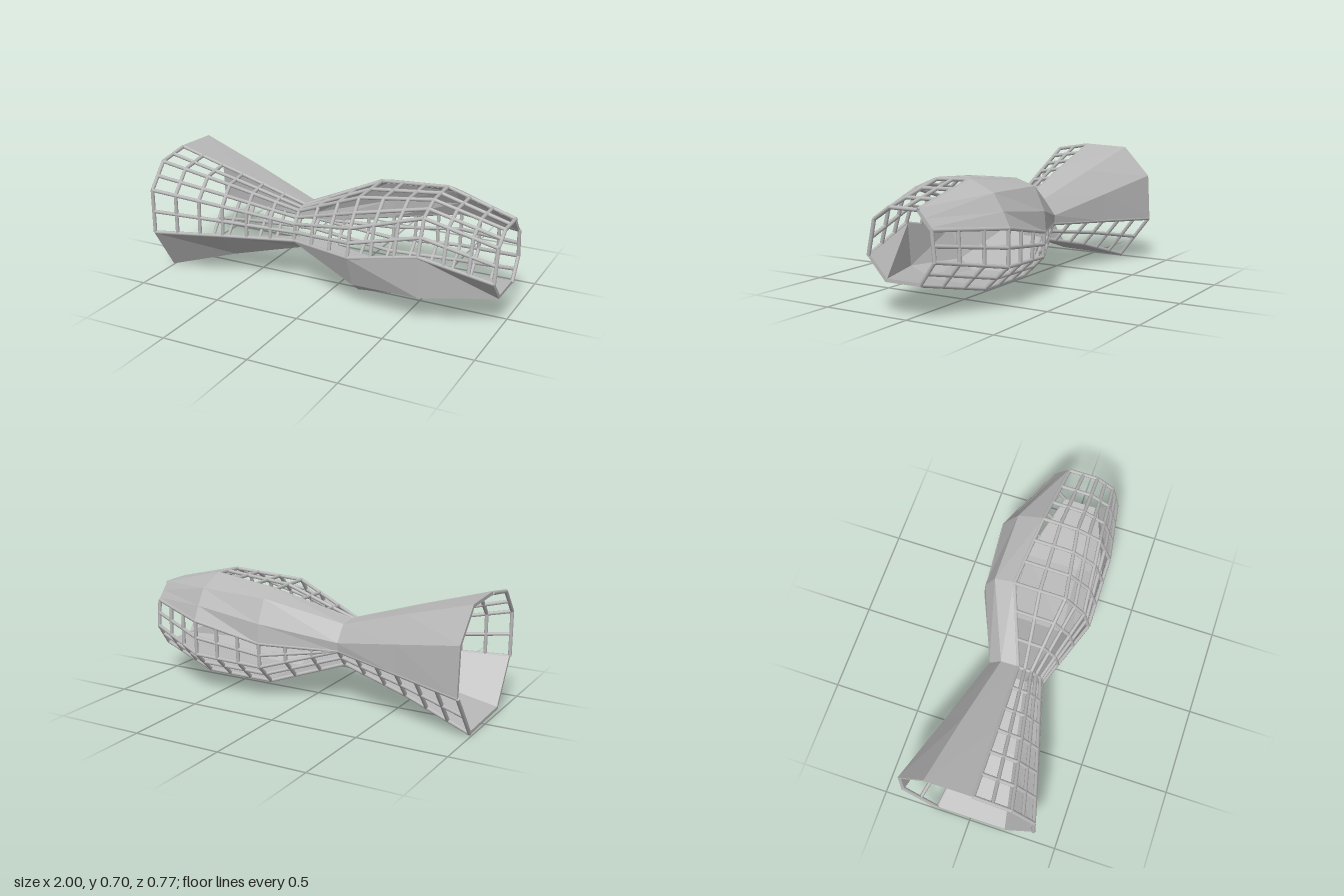
import * as THREE from 'three';
import { mergeGeometries } from 'three/addons/utils/BufferGeometryUtils.js';

// Stations along the tube, and the cross-section (z, y) at each one.
// Columns run from the top, down the front, under and up the back.
const XS = [-0.99, -0.6, -0.2, 0.2, 0.6, 0.99];
const RINGS = [
  [[.055, .70], [.26, .665], [.38, .525], [.38, .265], [.215, .01], [.215, .01], [-.195, 0], [-.385, .25], [-.385, .25], [-.37, .52], [-.21, .69]],
  [[.04, .585], [.18, .56], [.27, .455], [.275, .275], [.14, .12], [.14, .12], [-.13, .12], [-.265, .28], [-.265, .28], [-.26, .44], [-.15, .575]],
  [[.02, .46], [.10, .445], [.155, .38], [.165, .28], [.065, .21], [.065, .21], [-.06, .21], [-.145, .31], [-.145, .31], [-.15, .36], [-.08, .45]],
  [[-.14, .615], [.16, .61], [.275, .47], [.31, .31], [.24, .13], [.16, .07], [-.19, .085], [-.31, .20], [-.32, .34], [-.31, .45], [-.25, .58]],
  [[-.105, .655], [.10, .645], [.235, .585], [.305, .39], [.285, .155], [.13, .095], [-.20, .09], [-.34, .22], [-.345, .42], [-.305, .50], [-.25, .59]],
  [[-.075, .55], [.10, .55], [.20, .48], [.24, .29], [.13, .17], [.13, .17], [-.085, .17], [-.175, .295], [-.16, .455], [-.15, .465], [-.115, .505]],
];
const COLS = RINGS[0].length;

// Corner of the tube, moved inward from the outer surface
function corner(s, c, inset) {
  const ring = RINGS[s];
  const [z, y] = ring[c % COLS];
  const cz = ring.reduce((t, p) => t + p[0], 0) / COLS;
  const cy = ring.reduce((t, p) => t + p[1], 0) / COLS;
  const k = 1 - inset / Math.hypot(z - cz, y - cy);
  return new THREE.Vector3(XS[s], cy + (y - cy) * k, cz + (z - cz) * k);
}

// Closed flat-sided shell covering columns c0 to c1
function shell(c0, c1) {
  const pos = [];
  const quad = (a, b, c, d) => [a, b, c, a, c, d].forEach(p => pos.push(p.x, p.y, p.z));
  const out = (s, c) => corner(s, c, 0), inn = (s, c) => corner(s, c, 0.02);
  const last = XS.length - 1;
  for (let s = 0; s < last; s++) {
    for (let c = c0; c < c1; c++) {
      quad(out(s, c), out(s, c + 1), out(s + 1, c + 1), out(s + 1, c));
      quad(inn(s, c), inn(s + 1, c), inn(s + 1, c + 1), inn(s, c + 1));
    }
    quad(out(s, c0), out(s + 1, c0), inn(s + 1, c0), inn(s, c0));
    quad(inn(s, c1), inn(s + 1, c1), out(s + 1, c1), out(s, c1));
  }
  for (let c = c0; c < c1; c++) {
    quad(inn(0, c), inn(0, c + 1), out(0, c + 1), out(0, c));
    quad(out(last, c), out(last, c + 1), inn(last, c + 1), inn(last, c));
  }
  const g = new THREE.BufferGeometry();
  g.setAttribute('position', new THREE.Float32BufferAttribute(pos, 3));
  g.computeVertexNormals();
  return g;
}

// Round bar between two points
function rod(a, b, r = 0.0105) {
  const d = b.clone().sub(a);
  const g = new THREE.CylinderGeometry(r, r, d.length(), 8);
  g.applyQuaternion(new THREE.Quaternion().setFromUnitVectors(new THREE.Vector3(0, 1, 0), d.normalize()));
  return g.translate(...a.clone().add(b).multiplyScalar(0.5).toArray());
}

// Grid of bars over columns c0 to c1: two rows and three bays per panel
function lattice(c0, c1) {
  const parts = [];
  const at = (s, c) => corner(s, c, 0.009);
  const add = (a, b) => { if (a.distanceTo(b) > 0.005) parts.push(rod(a, b)); };
  for (let s = 0; s < XS.length - 1; s++) {
    for (let c = c0; c <= c1; c++) {
      add(at(s, c), at(s + 1, c));
      if (c === c1) continue;
      const collapsed = at(s, c).distanceTo(at(s, c + 1)) + at(s + 1, c).distanceTo(at(s + 1, c + 1)) < 0.01;
      if (collapsed) continue;
      // middle rail
      add(at(s, c).lerp(at(s, c + 1), 0.5), at(s + 1, c).lerp(at(s + 1, c + 1), 0.5));
      // rungs
      const bays = s === XS.length - 2 ? 3 : 2;
      for (let i = 0; i <= bays; i++) {
        add(at(s, c).lerp(at(s + 1, c), i / 3), at(s, c + 1).lerp(at(s + 1, c + 1), i / 3));
      }
    }
  }
  return mergeGeometries(parts);
}

export function createModel() {
  const group = new THREE.Group();
  const grey = new THREE.MeshStandardMaterial({ color: 0xb8b8b8 });
  grey.name = 'grey';
  const add = (name, geometry) => {
    const mesh = new THREE.Mesh(geometry, grey);
    mesh.name = name;
    group.add(mesh);
  };
  add('frontLattice', lattice(0, 3));
  add('floorShell', shell(3, 6));
  add('backLattice', lattice(6, 8));
  add('backShell', shell(8, 11));
  return group;
}
